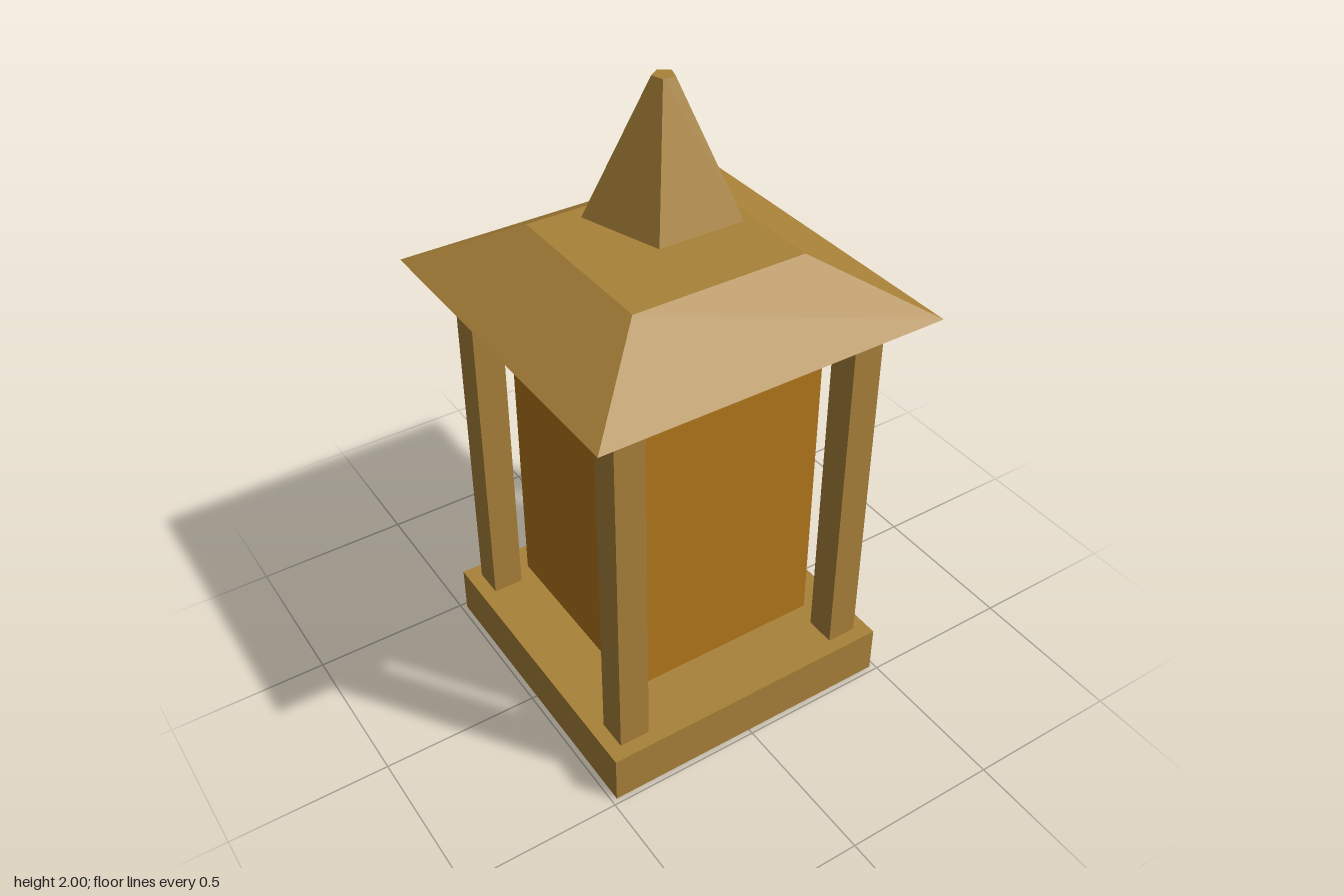
import * as THREE from 'three';

export function createModel() {
  const lantern = new THREE.Group();
  lantern.name = 'lantern';

  const brass = new THREE.MeshStandardMaterial({ color: 0xa98239, flatShading: true, side: THREE.DoubleSide });
  const amber = new THREE.MeshStandardMaterial({ color: 0xb3771c, flatShading: true });

  const add = (name, geometry, material, x, y, z) => {
    const mesh = new THREE.Mesh(geometry, material);
    mesh.name = name;
    mesh.position.set(x, y, z);
    lantern.add(mesh);
  };

  // Tapered shell with a flat top and an open underside; radii reach the corners
  const shell = (name, sides, phi, rBottom, rTop, y0, y1) => {
    const profile = [[rBottom, 0], [rTop, y1 - y0], [0, y1 - y0]].map(([r, y]) => new THREE.Vector2(r, y));
    const geometry = new THREE.LatheGeometry(profile, sides, phi).toNonIndexed();
    geometry.computeVertexNormals();
    add(name, geometry, brass, 0, y0, 0);
  };

  const corner = Math.SQRT2; // half width of a square to its corner radius
  shell('base', 4, Math.PI / 4, 0.483 * corner, 0.483 * corner, 0, 0.16);
  shell('roof', 4, Math.PI / 4, 0.547 * corner, 0.275 * corner, 1.36, 1.52);

  // Five-sided finial hovering over the roof, one edge pointing back
  shell('finial', 5, Math.PI, 0.227, 0.033, 1.62, 2);

  // Corner posts
  for (const x of [-0.389, 0.389]) {
    for (const z of [-0.389, 0.389]) {
      add('post', new THREE.BoxGeometry(0.097, 1.2, 0.097), brass, x, 0.76, z);
    }
  }

  // Amber glass body, free of the frame on all sides
  add('glass', new THREE.BoxGeometry(0.645, 1.06, 0.645), amber, 0, 0.76, 0);

  return lantern;
}
